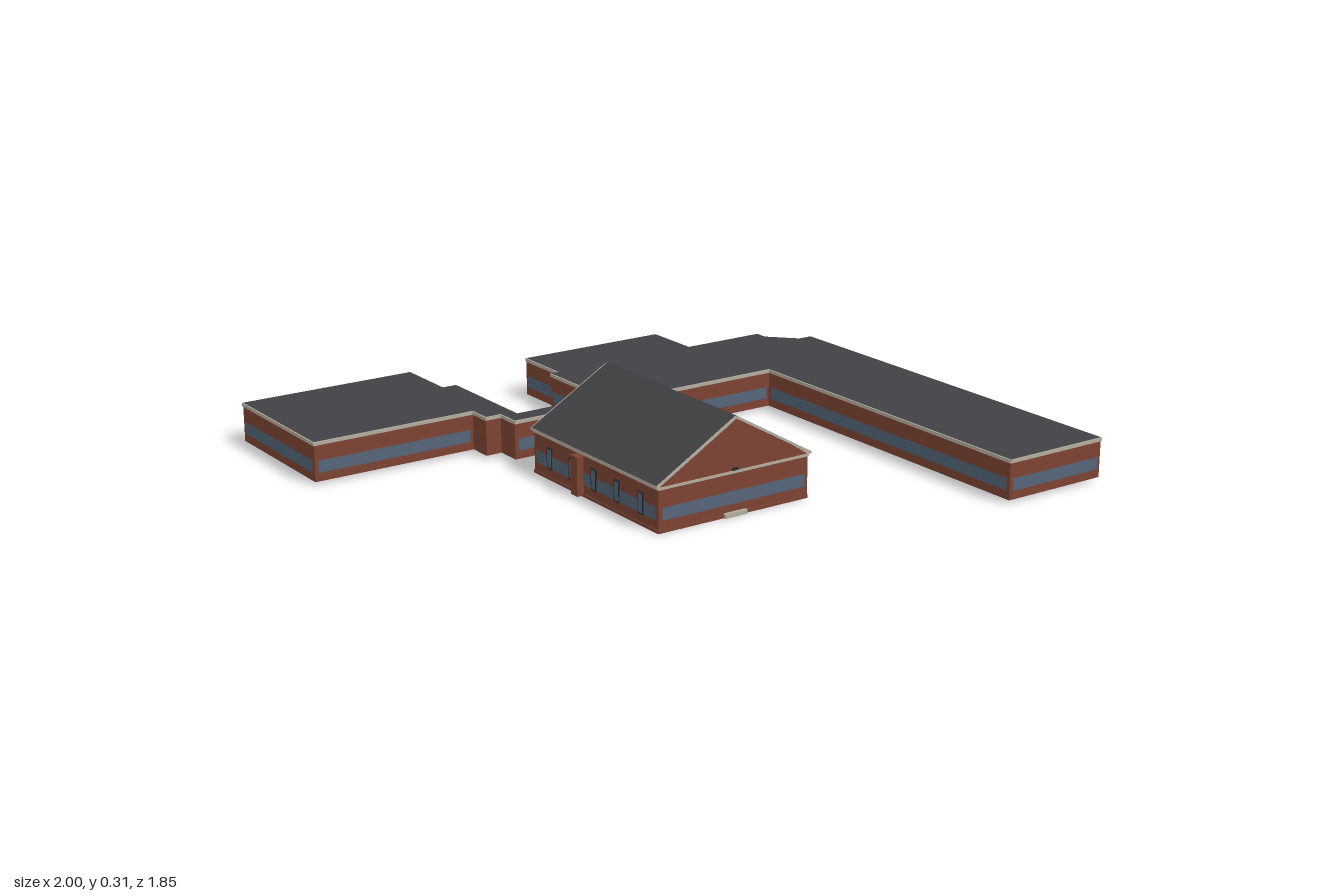
import * as THREE from 'three';
import { mergeGeometries } from 'three/addons/utils/BufferGeometryUtils.js';

export function createModel() {
  const root = new THREE.Group();
  const mat = (name, color, side = THREE.DoubleSide) => {
    const m = new THREE.MeshStandardMaterial({ color, side });
    m.name = name;
    return m;
  };
  const brick = mat('brick', 0x7d4333);
  const roofing = mat('slate roofing', 0x414044);
  const glass = mat('window glass', 0x55657a, THREE.FrontSide);
  const trim = mat('stone trim', 0xb4ad9e, THREE.FrontSide);
  const dark = mat('dark frame', 0x2b2a2c, THREE.FrontSide);

  const add = (parent, name, geometry, material) => {
    const mesh = new THREE.Mesh(geometry, material);
    mesh.name = name;
    parent.add(mesh);
    return mesh;
  };
  const box = (parent, name, material, w, h, d, x, y, z) =>
    add(parent, name, new THREE.BoxGeometry(w, h, d).translate(x, y, z), material);

  // Walls, window bands and fascia follow a clockwise outline of [x, z] corners
  function wallRing(parent, outline, base, top, fascia) {
    const walls = [], bands = [], edges = [];
    outline.forEach(([x0, z0], i) => {
      const [x1, z1] = outline[(i + 1) % outline.length];
      const dx = x1 - x0, dz = z1 - z0, len = Math.hypot(dx, dz);
      const nx = dz / len, nz = -dx / len;
      const place = (g, y, out) => g.rotateY(Math.atan2(nx, nz))
        .translate((x0 + x1) / 2 + nx * out, y, (z0 + z1) / 2 + nz * out);
      walls.push(place(new THREE.PlaneGeometry(len, top - base), (top + base) / 2, 0));
      if (len > 0.1) bands.push(place(new THREE.PlaneGeometry(len - 0.024, 0.04), 0.058, 0.002));
      edges.push(place(new THREE.BoxGeometry(len + 0.004, fascia, 0.005), top - fascia / 2, 0.0005));
    });
    add(parent, 'brickWalls', mergeGeometries(walls), brick);
    add(parent, 'windowBands', mergeGeometries(bands), glass);
    add(parent, 'fascia', mergeGeometries(edges), trim);
  }

  // Flat-roofed wings joined by the corridor
  const wings = new THREE.Group();
  wings.name = 'flatRoofWings';
  root.add(wings);
  const outline = [
    [-1, -0.92], [-0.39, -0.92], [-0.39, -0.70], [-0.34, -0.70], [-0.34, -0.315],
    [0.19, -0.315], [0.19, -0.43], [-0.01, -0.43], [-0.01, -0.635], [0.02, -0.635],
    [0.02, -0.84], [0.56, -0.84], [0.56, -0.635], [0.86, -0.635], [0.86, -0.59],
    [0.945, -0.50], [0.995, -0.50], [0.995, 0.92], [0.62, 0.92], [0.62, -0.255],
    [-0.085, -0.255], [-0.085, -0.14], [-0.135, -0.14], [-0.135, -0.255],
    [-0.385, -0.255], [-0.385, -0.34], [-0.44, -0.34], [-0.44, -0.42], [-1, -0.42],
  ];
  wallRing(wings, outline, 0.01, 0.138, 0.011);
  const roofShape = new THREE.Shape(outline.map(([x, z]) => new THREE.Vector2(x, -z)));
  add(wings, 'flatRoof', new THREE.ShapeGeometry(roofShape).rotateX(-Math.PI / 2).translate(0, 0.139, 0), roofing);

  // Gabled hall
  const hall = new THREE.Group();
  hall.name = 'gabledHall';
  root.add(hall);
  const L = -0.385, R = 0.16, B = -0.14, F = 0.53, mid = (L + R) / 2;
  wallRing(hall, [[L, B], [R, B], [R, F], [L, F]], 0.003, 0.14, 0.008);
  const gable = new THREE.Shape([
    new THREE.Vector2(L, 0.14), new THREE.Vector2(R, 0.14), new THREE.Vector2(mid, 0.302)]);
  for (const [name, z] of [['frontGable', F], ['backGable', B]]) {
    add(hall, name, new THREE.ShapeGeometry(gable).translate(0, 0, z), brick);
  }

  // Roof slopes with stone verges at both gables
  const halfSpan = 0.281, rise = 0.162;
  const slopeLen = Math.hypot(halfSpan, rise), pitch = Math.atan2(rise, halfSpan);
  for (const s of [-1, 1]) {
    const slope = (name, material, thick, depth, z, y) => {
      const m = add(hall, name, new THREE.BoxGeometry(slopeLen, thick, depth), material);
      m.position.set(mid + s * halfSpan / 2, y + rise / 2, z);
      m.rotation.z = -s * pitch;
    };
    slope('roofSlope', roofing, 0.006, F - B + 0.008, (F + B) / 2, 0.144);
    for (const z of [B - 0.004, F + 0.004]) slope('verge', trim, 0.008, 0.004, z, 0.143);
    box(hall, 'eavesTrim', trim, 0.004, 0.008, F - B + 0.008, mid + s * 0.281, 0.143, (F + B) / 2);
  }

  // Narrow framed windows on the left-hand long wall and inside the front
  for (let i = 0; i < 5; i++) {
    const z = B + 0.09 + i * 0.123;
    box(hall, 'windowFrame', dark, 0.008, 0.07, 0.028, L, 0.07, z);
    box(hall, 'windowPane', glass, 0.0095, 0.06, 0.02, L, 0.07, z);
  }
  for (const x of [mid - 0.16, mid + 0.16]) {
    box(hall, 'innerWindowFrame', dark, 0.028, 0.07, 0.004, x, 0.07, F - 0.003);
    box(hall, 'innerWindowPane', glass, 0.02, 0.06, 0.005, x, 0.07, F - 0.003);
  }
  box(hall, 'innerDoor', dark, 0.05, 0.09, 0.004, mid, 0.05, F - 0.003);

  // Front step and the two side buttresses
  box(hall, 'frontStep', trim, 0.08, 0.014, 0.012, mid, 0.007, F + 0.005);
  box(hall, 'gableVent', dark, 0.02, 0.008, 0.004, mid, 0.145, F + 0.002);
  box(hall, 'leftButtress', brick, 0.024, 0.125, 0.036, -0.397, 0.0665, 0.12);
  box(hall, 'rightButtress', brick, 0.024, 0.125, 0.036, 0.172, 0.0665, 0.275);
  // Thin plinth along the foot of the hall walls
  for (const x of [L, R]) box(hall, 'plinth', brick, 0.006, 0.01, F - B, x, 0.005, (F + B) / 2);
  for (const z of [B, F]) box(hall, 'plinth', brick, R - L, 0.01, 0.006, mid, 0.005, z);

  return root;
}
